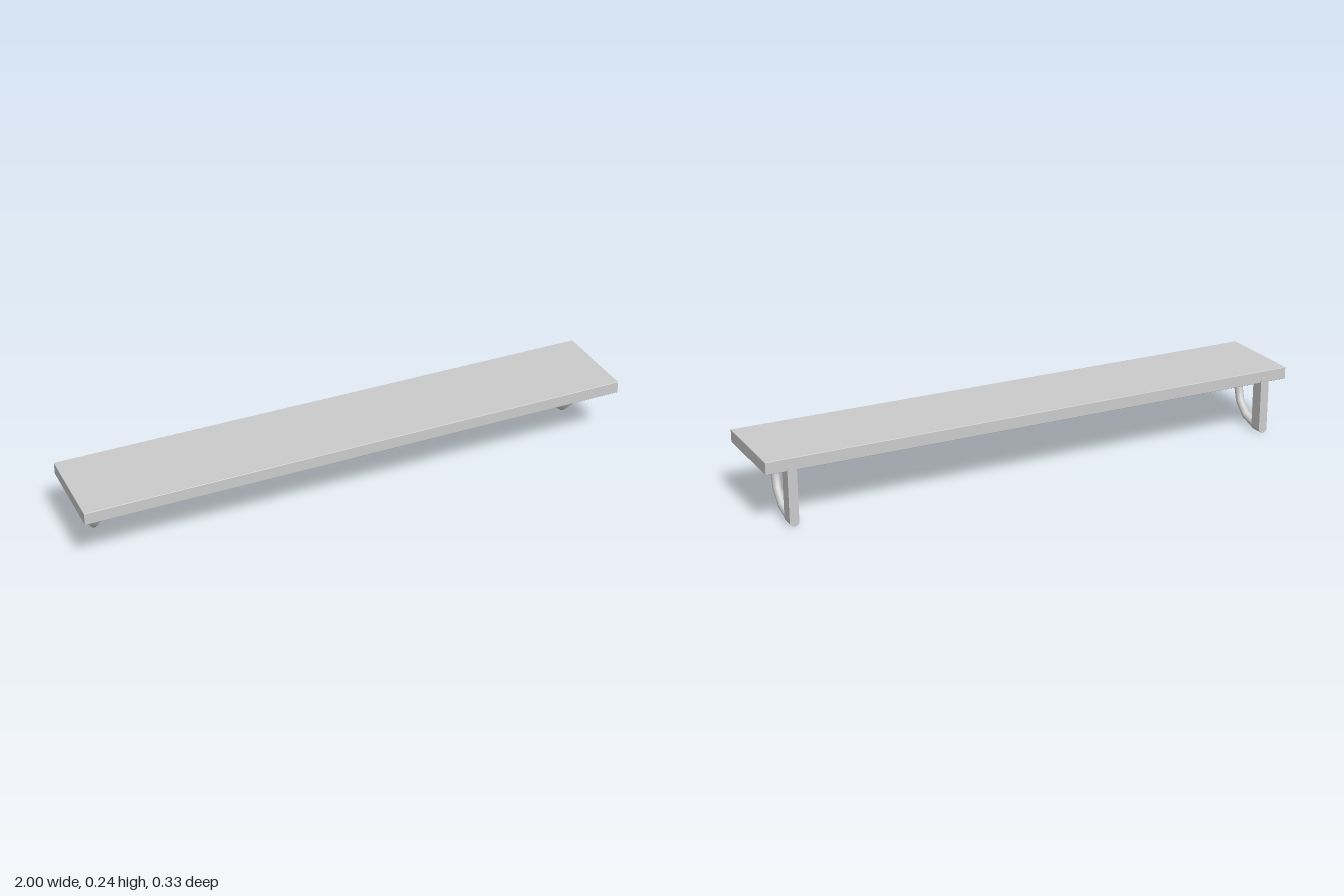
import * as THREE from 'three';
import { RoundedBoxGeometry } from 'three/addons/geometries/RoundedBoxGeometry.js';

const material = new THREE.MeshStandardMaterial({ color: 0xcccccc });

// Polyline whose tangents are mitred at the corners, one tube ring per point
class Polyline extends THREE.Curve {
  constructor(points) {
    super();
    this.points = points;
  }
  index(t) {
    return Math.round(t * (this.points.length - 1));
  }
  getPointAt(t, target = new THREE.Vector3()) {
    return target.copy(this.points[this.index(t)]);
  }
  getTangentAt(t, target = new THREE.Vector3()) {
    const p = this.points, i = this.index(t), last = p.length - 1;
    target.set(0, 0, 0);
    if (i > 0) target.add(p[i].clone().sub(p[i - 1]).normalize());
    if (i < last) target.add(p[i + 1].clone().sub(p[i]).normalize());
    return target.normalize();
  }
}

function part(name, geometry) {
  const mesh = new THREE.Mesh(geometry, material);
  mesh.name = name;
  return mesh;
}

// Upright wall plate with round ends
function wallPlate() {
  const r = 0.0165, top = 0.215, depth = 0.049;
  const shape = new THREE.Shape();
  shape.absarc(0, top - r, r, 0, Math.PI, false);
  shape.absarc(0, r, r, Math.PI, 2 * Math.PI, false);
  shape.closePath();
  const geometry = new THREE.ExtrudeGeometry(shape, { depth, bevelEnabled: false, curveSegments: 12 });
  return part('wallPlate', geometry.translate(0, 0, -0.167));
}

// Rod that drops from the board and bends back to the foot of the plate
function supportRod() {
  const bend = 0.12, cy = 0.1375, cz = -0.117;
  const points = [new THREE.Vector3(0, 0.21, cz + bend)];
  for (let i = 0; i <= 3; i++) {
    const a = i * Math.PI / 6;
    points.push(new THREE.Vector3(0, cy - bend * Math.sin(a), cz + bend * Math.cos(a)));
  }
  points.push(new THREE.Vector3(0, cy - bend, -0.16));
  return part('supportRod', new THREE.TubeGeometry(new Polyline(points), points.length - 1, 0.0155, 20));
}

export function createModel() {
  const model = new THREE.Group();
  model.name = 'wallShelf';

  // Board with slightly eased edges
  const board = part('board', new RoundedBoxGeometry(2, 0.044, 0.33, 2, 0.002));
  board.position.set(0, 0.217, 0.002);
  model.add(board);

  // Brackets near both ends
  for (const side of [-1, 1]) {
    const bracket = new THREE.Group();
    bracket.name = side > 0 ? 'leftBracket' : 'rightBracket';
    bracket.add(wallPlate(), supportRod());
    bracket.position.x = side * 0.91;
    model.add(bracket);
  }
  return model;
}
